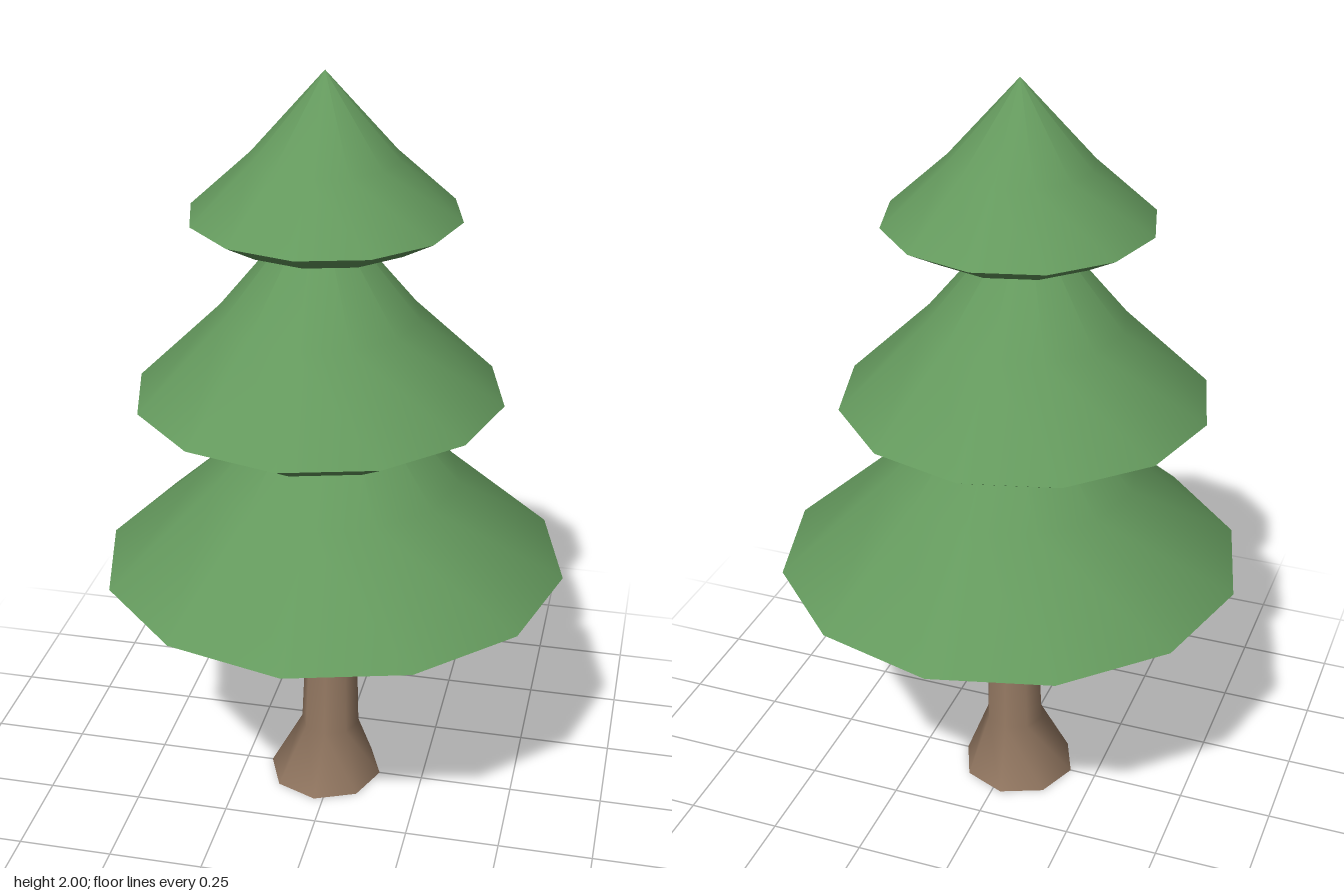
import * as THREE from 'three';

const foliage = new THREE.MeshStandardMaterial({ color: 0x64995d });
foliage.name = 'foliage green';
const bark = new THREE.MeshStandardMaterial({ color: 0x917660 });
bark.name = 'bark brown';

// Revolved profile; points run bottom to top so faces point outward.
function lathe(name, points, sides, material) {
  const profile = points.map(([r, y]) => new THREE.Vector2(r, y));
  const mesh = new THREE.Mesh(new THREE.LatheGeometry(profile, sides), material);
  mesh.name = name;
  return mesh;
}

// One skirt of branches: a two-slope cone above a bevelled underside, with a sharp rim.
function tier(name, x, { bottom, bottomR, rim, rimR, kink, kinkR, tip }) {
  const group = new THREE.Group();
  group.name = name;
  group.position.x = x;
  group.add(
    lathe(name + 'Top', [[rimR, rim], [kinkR, kink], [0, tip]], 12, foliage),
    lathe(name + 'Underside', [[0, bottom], [bottomR, bottom], [rimR, rim]], 12, foliage)
  );
  return group;
}

// Slight sideways lean of the trunk toward its foot.
function lean(mesh) {
  const p = mesh.geometry.attributes.position;
  for (let i = 0; i < p.count; i++) {
    const y = p.getY(i);
    const shift = y < 0.165
      ? THREE.MathUtils.mapLinear(y, 0, 0.165, -0.024, -0.011)
      : THREE.MathUtils.mapLinear(y, 0.165, 0.65, -0.011, -0.005);
    p.setX(i, p.getX(i) + shift);
  }
  return mesh;
}

export function createModel() {
  const tree = new THREE.Group();
  tree.name = 'pineTree';

  // Trunk with flared foot and flat base
  tree.add(
    lean(lathe('trunk', [[0.155, 0], [0.08, 0.165], [0.063, 0.65]], 8, bark)),
    lean(lathe('trunkBase', [[0, 0], [0.155, 0]], 8, bark))
  );

  // Three tiers of foliage
  tree.add(
    tier('lowerTier', 0, { bottom: 0.6, bottomR: 0.44, rim: 0.695, rimR: 0.608, kink: 0.945, kinkR: 0.33, tip: 1.32 }),
    tier('middleTier', -0.038, { bottom: 1.097, bottomR: 0.343, rim: 1.172, rimR: 0.474, kink: 1.385, kinkR: 0.257, tip: 1.7 }),
    tier('topTier', -0.022, { bottom: 1.595, bottomR: 0.247, rim: 1.647, rimR: 0.34, kink: 1.79, kinkR: 0.185, tip: 2 })
  );
  return tree;
}
